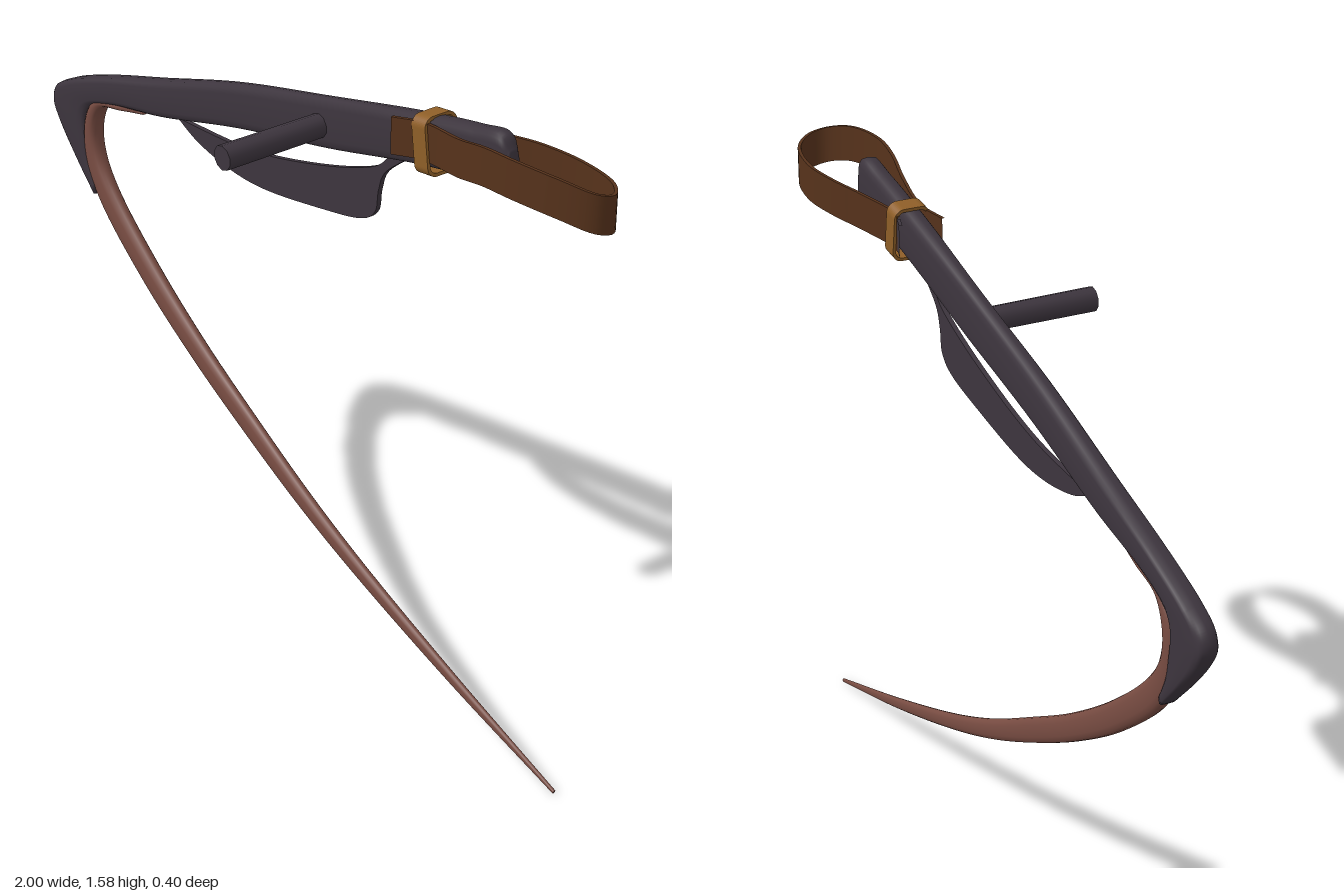
import * as THREE from 'three';

const paint = (name, color) => {
  const m = new THREE.MeshStandardMaterial({ color });
  m.name = name;
  return m;
};
const MID = -0.096; // z of the tool's flat plane

// Loft through stations [outerX, outerY, innerX, innerY, halfThickness];
// power below 1 squares the oval section.
function loft(stations, steps, power, sides = 16) {
  const curve = (f) => new THREE.CatmullRomCurve3(stations.map(f));
  const outer = curve((s) => new THREE.Vector3(s[0], s[1], s[4]));
  const inner = curve((s) => new THREE.Vector3(s[2], s[3], s[4]));
  const pos = [], idx = [];
  const bend = (v) => Math.sign(v) * Math.abs(v) ** power;
  for (let i = 0; i <= steps; i++) {
    const a = outer.getPoint(i / steps), b = inner.getPoint(i / steps);
    for (let j = 0; j < sides; j++) {
      const t = (j / sides) * Math.PI * 2;
      const u = (1 - bend(Math.cos(t))) / 2;
      pos.push(a.x + (b.x - a.x) * u, a.y + (b.y - a.y) * u, MID + a.z * bend(Math.sin(t)));
      if (i < steps) {
        const p = i * sides + j, q = i * sides + ((j + 1) % sides);
        idx.push(p, p + sides, q, q, p + sides, q + sides);
      }
    }
  }
  // end caps
  for (const i of [0, steps]) {
    const a = outer.getPoint(i / steps), b = inner.getPoint(i / steps);
    const c = pos.length / 3;
    pos.push((a.x + b.x) / 2, (a.y + b.y) / 2, MID);
    for (let j = 0; j < sides; j++) {
      const p = i * sides + j, q = i * sides + ((j + 1) % sides);
      if (i === 0) idx.push(c, p, q);
      else idx.push(c, q, p);
    }
  }
  return build(pos, idx);
}

function build(pos, idx) {
  const g = new THREE.BufferGeometry();
  g.setAttribute('position', new THREE.Float32BufferAttribute(pos, 3));
  g.setIndex(idx);
  g.computeVertexNormals();
  return g;
}

// Upright band of thin rectangular section following a path
function band(points, halfHeight, steps) {
  const path = new THREE.CatmullRomCurve3(points.map((p) => new THREE.Vector3(...p)));
  const corners = [[-1, -1], [1, -1], [1, 1], [-1, 1]];
  const pos = [], idx = [];
  corners.forEach((from, k) => {
    const start = pos.length / 3;
    for (let i = 0; i <= steps; i++) {
      const p = path.getPoint(i / steps), d = path.getTangent(i / steps).setY(0).normalize();
      for (const [n, h] of [from, corners[(k + 1) % 4]])
        pos.push(p.x + d.z * n * 0.004, p.y + h * halfHeight, p.z - d.x * n * 0.004);
      const a = start + 2 * i;
      if (i < steps) idx.push(a, a + 1, a + 2, a + 1, a + 3, a + 2);
    }
  });
  return build(pos, idx);
}

// Rounded rectangle outline
function roundRect(path, w, h, r) {
  path.absarc(w - r, h - r, r, 0, Math.PI / 2);
  path.absarc(r - w, h - r, r, Math.PI / 2, Math.PI);
  path.absarc(r - w, r - h, r, Math.PI, Math.PI * 1.5);
  path.absarc(w - r, r - h, r, Math.PI * 1.5, Math.PI * 2);
  path.closePath();
  return path;
}

const flat = (points) => points.map((p) => new THREE.Vector2(...p));

export function createModel() {
  const group = new THREE.Group();
  const dark = paint('dark wood', 0x3d353e);
  const rust = paint('rusty metal', 0x784c42);
  const leather = paint('brown leather', 0x56321b);
  const tan = paint('tan binding', 0x8f5f28);
  const add = (name, geometry, material) => {
    const mesh = new THREE.Mesh(geometry, material);
    mesh.name = name;
    group.add(mesh);
    return mesh;
  };

  // Long handle, running into the bent heel
  add('handle', loft([
    [0.715, 1.55, 0.725, 1.475, 0.014],
    [0.69, 1.583, 0.70, 1.463, 0.024],
    [0.60, 1.57, 0.62, 1.45, 0.026],
    [0.40, 1.527, 0.43, 1.413, 0.026],
    [0.09, 1.449, 0.115, 1.33, 0.022],
    [-0.25, 1.36, -0.22, 1.255, 0.024],
    [-0.55, 1.262, -0.53, 1.17, 0.026],
    [-0.78, 1.187, -0.74, 1.125, 0.027],
    [-0.93, 1.128, -0.83, 1.09, 0.028],
    [-0.985, 1.093, -0.852, 1.06, 0.028],
    [-0.998, 1.055, -0.857, 1.03, 0.028],
    [-0.975, 1.01, -0.852, 0.98, 0.027],
    [-0.91, 0.932, -0.845, 0.93, 0.025],
    [-0.825, 0.845, -0.82, 0.87, 0.022],
  ], 104, 0.5), dark);

  // Curved tapering blade, set into the inside of the heel
  add('blade', loft([
    [-0.64, 1.16, -0.62, 1.14, 0.012],
    [-0.72, 1.14, -0.70, 1.122, 0.02],
    [-0.82, 1.11, -0.79, 1.097, 0.024],
    [-0.862, 1.04, -0.82, 1.03, 0.024],
    [-0.862, 0.93, -0.81, 0.96, 0.023],
    [-0.81, 0.832, -0.755, 0.88, 0.021],
    [-0.63, 0.675, -0.585, 0.732, 0.02],
    [-0.425, 0.54, -0.385, 0.594, 0.018],
    [-0.215, 0.424, -0.185, 0.479, 0.016],
    [0.005, 0.317, 0.03, 0.362, 0.015],
    [0.22, 0.229, 0.235, 0.268, 0.013],
    [0.57, 0.109, 0.58, 0.136, 0.009],
    [0.94, 0.002, 0.943, 0.011, 0.004],
  ], 96, 0.8), rust);

  // Flat fin hanging below the handle
  const fin = new THREE.Shape();
  fin.moveTo(-0.475, 1.187);
  fin.splineThru(flat([[-0.39, 1.151], [-0.26, 1.128], [-0.12, 1.13], [0.09, 1.165], [0.22, 1.195], [0.272, 1.232],
    [0.283, 1.29], [0.305, 1.343], [0.38, 1.405]]));
  fin.lineTo(0.33, 1.41);
  fin.splineThru(flat([[0.265, 1.343], [0.06, 1.268], [-0.2, 1.207], [-0.475, 1.187]]));
  add('fin', new THREE.ExtrudeGeometry(fin, { depth: 0.012, bevelEnabled: false, curveSegments: 32 }), dark)
    .position.z = MID - 0.006;

  // Side grip standing out to the front
  const peg = add('sideGrip', new THREE.CylinderGeometry(0.03, 0.029, 0.3, 10), dark);
  peg.rotation.x = Math.PI / 2;
  peg.position.set(0.088, 1.382, 0.05);

  // Leather wrist loop
  add('wristLoop', band([
    [0.38, 1.478, -0.043], [0.46, 1.488, -0.064], [0.60, 1.506, -0.045], [0.70, 1.53, -0.027],
    [0.80, 1.54, -0.02], [0.92, 1.535, -0.042], [0.985, 1.517, -0.08], [0.992, 1.506, -0.12],
    [0.94, 1.498, -0.17], [0.82, 1.493, -0.196], [0.70, 1.492, -0.186], [0.60, 1.488, -0.16],
    [0.46, 1.483, -0.132], [0.43, 1.481, -0.136],
  ], 0.045, 80), leather);

  // Loose end of the loop behind the binding
  add('looseEnd', band([[0.43, 1.48, -0.136], [0.40, 1.475, -0.144]], 0.04, 4), dark);

  // Binding ring holding the loop to the handle
  const ring = roundRect(new THREE.Shape(), 0.046, 0.069, 0.025);
  ring.holes.push(roundRect(new THREE.Path(), 0.038, 0.061, 0.018));
  const ringGeo = new THREE.ExtrudeGeometry(ring, { depth: 0.045, bevelEnabled: false, curveSegments: 6 });
  ringGeo.translate(0, 0, -0.0225).rotateY(Math.PI / 2).rotateZ(0.14);
  add('binding', ringGeo, tan).position.set(0.462, 1.476, MID - 0.003);

  return group;
}
